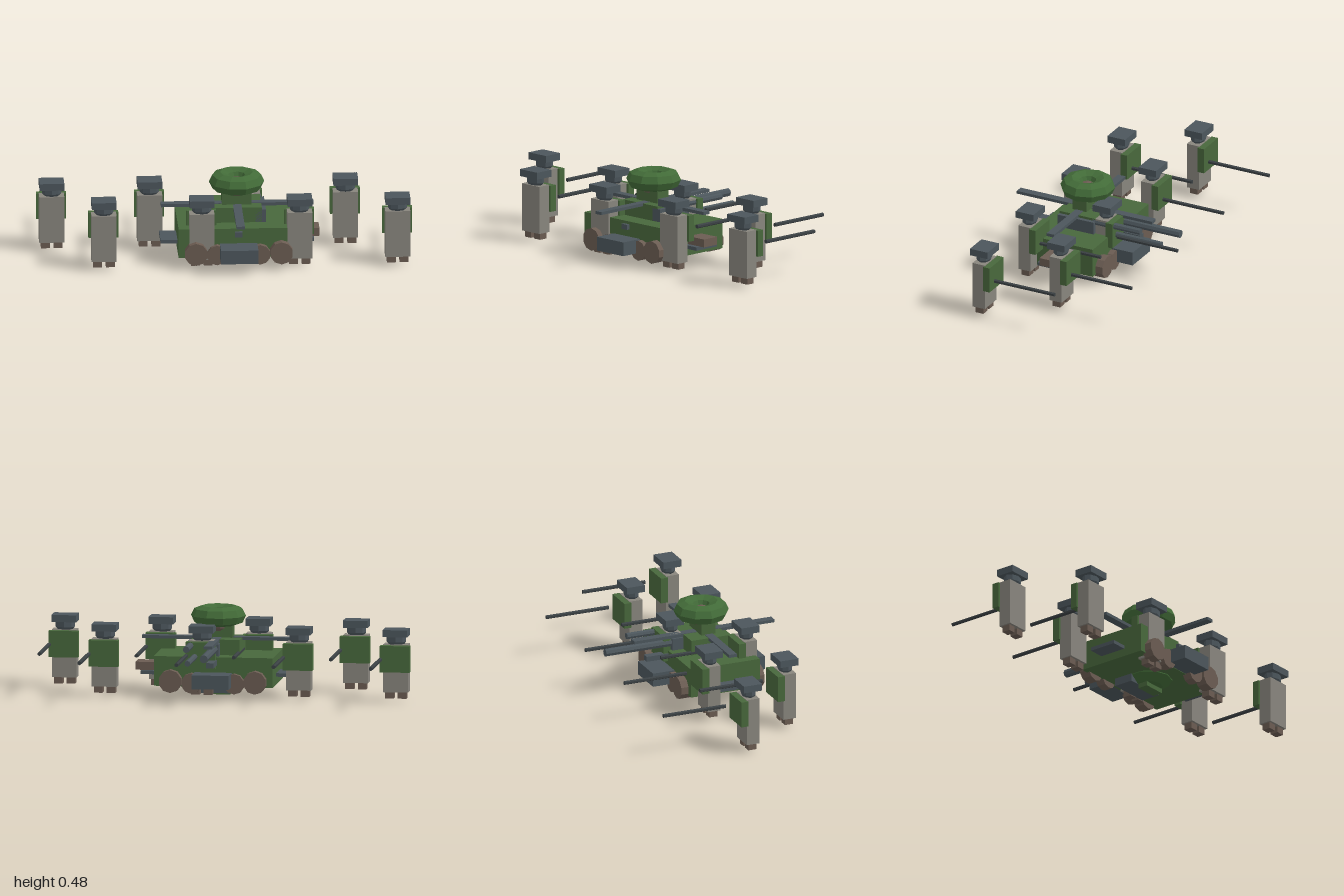
import * as THREE from 'three';

const material = (name, color) => {
  const m = new THREE.MeshStandardMaterial({ color, flatShading: true });
  m.name = name;
  return m;
};

export function createModel() {
  const model = new THREE.Group();
  model.name = 'vehicleWithSquad';
  const green = material('hullGreen', 0x48683c);
  const domeGreen = material('domeGreen', 0x426b38);
  const steel = material('steelGrey', 0x4c565c);
  const coat = material('coatGrey', 0x88857d);
  const brown = material('brown', 0x6b5c52);
  const dark = material('gunGrey', 0x3a4043);

  const add = (parent, name, geometry, mat, x = 0, y = 0, z = 0) => {
    const mesh = new THREE.Mesh(geometry, mat);
    mesh.name = name;
    mesh.position.set(x, y, z);
    parent.add(mesh);
    return mesh;
  };
  // Box given by its low and high limits on each axis
  const box = (parent, name, mat, [x0, x1], [y0, y1], [z0, z1]) =>
    add(parent, name, new THREE.BoxGeometry(x1 - x0, y1 - y0, z1 - z0), mat,
      (x0 + x1) / 2, (y0 + y1) / 2, (z0 + z1) / 2);
  // Cylinder lying along z
  const rod = (parent, name, mat, x, y, z0, z1, r, sides) =>
    add(parent, name, new THREE.CylinderGeometry(r, r, z1 - z0, sides).rotateX(Math.PI / 2),
      mat, x, y, (z0 + z1) / 2);

  // Soldiers, origin at the middle of the body
  const headProfile = [[0, 0.303], [0.038, 0.305], [0.052, 0.322], [0.052, 0.355], [0, 0.356]]
    .map(([r, y]) => new THREE.Vector2(r, y));
  const makeSoldier = (x, z) => {
    const s = new THREE.Group();
    s.name = 'soldier';
    s.position.set(x, 0, z);
    box(s, 'coat', coat, [-0.067, 0.067], [0.053, 0.31], [-0.037, 0.037]);
    box(s, 'backpack', green, [-0.08, 0.08], [0.165, 0.307], [-0.073, -0.033]);
    for (const side of [-1, 1])
      add(s, 'foot', new THREE.BoxGeometry(0.047, 0.04, 0.047), brown, side * 0.034, 0.038, 0);
    add(s, 'head', new THREE.LatheGeometry(headProfile, 8), steel).scale.z = 0.75;
    box(s, 'cap', steel, [-0.066, 0.066], [0.352, 0.39], [-0.053, 0.053]);
    rod(s, 'rifle', dark, 0.073, 0.237, -0.463, -0.1, 0.011, 6);
    model.add(s);
  };
  for (let i = 0; i < 8; i++) makeSoldier(-0.92 + i * 0.2615, i % 2 ? 0.272 : -0.054);

  const vehicle = new THREE.Group();
  vehicle.name = 'vehicle';
  model.add(vehicle);
  const cx = 0.06, cz = 0.1;

  // Hull and upper deck
  box(vehicle, 'hull', green, [-0.26, 0.38], [0.065, 0.225], [-0.1, 0.3]);
  box(vehicle, 'upperDeck', green, [-0.07, 0.19], [0.225, 0.308], [-0.015, 0.2]);
  box(vehicle, 'sideLocker', steel, [0.155, 0.212], [0.226, 0.295], [-0.017, 0.2]);
  box(vehicle, 'sidePlate', steel, [-0.35, 0.47], [0.108, 0.127], [0.03, 0.185]);
  box(vehicle, 'endBox', brown, [0.38, 0.5], [0.127, 0.17], [0.058, 0.157]);

  // Crossed beams over the deck
  box(vehicle, 'crossBeam', steel, [-0.345, 0.47], [0.294, 0.311], [0.085, 0.13]);
  box(vehicle, 'longBeam', steel, [0.038, 0.083], [0.294, 0.31], [-0.3, 0.515]);
  box(vehicle, 'lowerBeam', steel, [0.04, 0.08], [0.182, 0.21], [-0.227, 0.32]);

  // Boxes and wheels on both long sides
  for (const side of [-1, 1]) {
    const face = cz + side * 0.2;
    add(vehicle, 'sideBox', new THREE.BoxGeometry(0.2, 0.075, 0.14), steel,
      cx, 0.105, face + side * 0.055);
    for (const end of [-1, 1]) {
      const outer = rod(vehicle, 'outerWheel', brown, cx + end * 0.228, 0.095, -0.03, 0.03, 0.062, 10);
      outer.position.z = face + side * 0.012;
      const inner = rod(vehicle, 'innerWheel', brown, cx + end * 0.115, 0.085, -0.025, 0.025, 0.055, 10);
      inner.position.z = face + side * 0.005;
    }
  }

  // Tower carrying the ring dome
  box(vehicle, 'tower', green, [-0.02, 0.138], [0.308, 0.372], [0.065, 0.148]);
  add(vehicle, 'domeCore', new THREE.SphereGeometry(0.06, 10, 6), brown, cx, 0.388, cz);
  const ring = new THREE.TorusGeometry(0.088, 0.06, 8, 10).rotateX(Math.PI / 2);
  add(vehicle, 'domeRing', ring, domeGreen, cx, 0.424, cz - 0.002).scale.y = 0.87;

  // Gun mount and barrels
  box(vehicle, 'gunMount', steel, [0.035, 0.19], [0.225, 0.29], [-0.08, 0.02]);
  rod(vehicle, 'mainBarrel', steel, cx, 0.264, -0.462, 0, 0.022, 8);
  rod(vehicle, 'secondBarrel', steel, 0.157, 0.229, -0.4, 0, 0.016, 8);
  rod(vehicle, 'shortBarrel', steel, 0.18, 0.288, -0.285, 0, 0.018, 8);

  // Undercarriage
  const belly = [[0, 0.022], [0.075, 0.025], [0.125, 0.06], [0.125, 0.08]]
    .map(([r, y]) => new THREE.Vector2(r, y));
  add(vehicle, 'belly', new THREE.LatheGeometry(belly, 10), domeGreen, cx, 0, cz);
  box(vehicle, 'bellyFoot', green, [-0.005, 0.125], [0, 0.035], [0.08, 0.138]);
  box(vehicle, 'bellyBox', steel, [-0.065, 0.17], [0.022, 0.066], [-0.03, 0.08]);

  return model;
}
